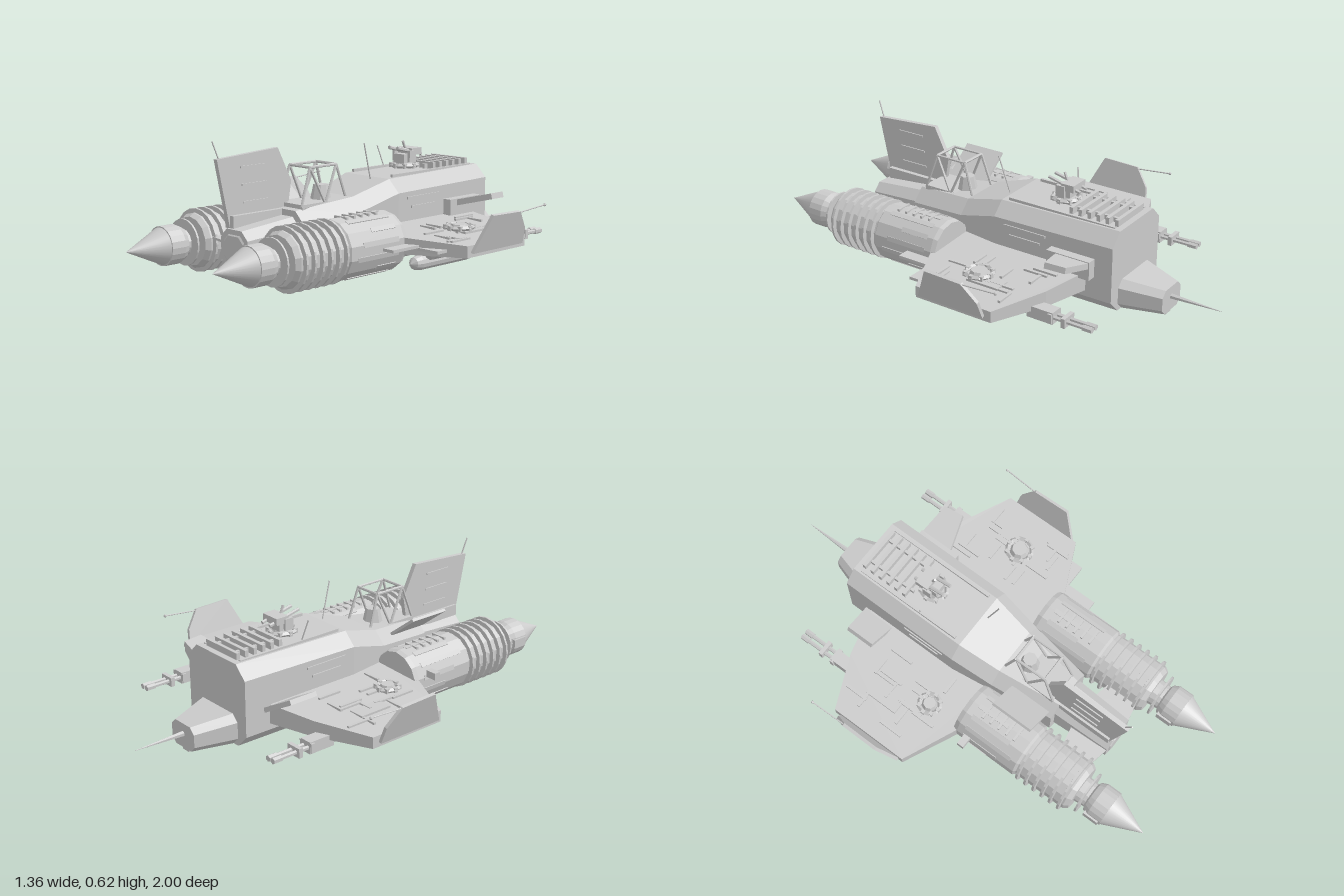
import * as THREE from 'three';

const mat = new THREE.MeshStandardMaterial({ color: 0xcccccc, flatShading: true, side: THREE.DoubleSide });
const smooth = new THREE.MeshStandardMaterial({ color: 0xcccccc });

// Octagonal hull through stations [z, half width, bottom, top, chamfer]
function octLoft(stations) {
  const rings = stations.map(([z, w, b, t, c]) => [
    [w, b + c], [w, t - c], [w - c, t], [c - w, t], [-w, t - c], [-w, b + c], [c - w, b], [w - c, b],
  ].map(([x, y]) => [x, y, z]));
  const pos = [];
  const tri = (...p) => p.forEach(v => pos.push(...v));
  for (let k = 0; k < rings.length - 1; k++) {
    const a = rings[k], b = rings[k + 1];
    for (let i = 0; i < 8; i++) {
      const j = (i + 1) % 8;
      tri(a[i], a[j], b[j]);
      tri(a[i], b[j], b[i]);
    }
  }
  const first = rings[0], last = rings[rings.length - 1];
  for (let i = 1; i < 7; i++) {
    tri(first[0], first[i + 1], first[i]);
    tri(last[0], last[i], last[i + 1]);
  }
  const g = new THREE.BufferGeometry();
  g.setAttribute('position', new THREE.Float32BufferAttribute(pos, 3));
  g.computeVertexNormals();
  return g;
}

const plate = (pts, depth) => new THREE.ExtrudeGeometry(
  new THREE.Shape(pts.map(p => new THREE.Vector2(...p))), { depth, bevelEnabled: false });

// Vertical plate outlined in (z, y), centred on x
const sidePlate = (pts, depth, x) => plate(pts.map(([z, y]) => [-z, y]), depth)
  .rotateY(Math.PI / 2).translate(x - depth / 2, 0, 0);

// Lathe around the z axis from [radius, z] points
const latheZ = (pts, n) => new THREE.LatheGeometry(
  pts.map(p => new THREE.Vector2(...p)), n).rotateX(Math.PI / 2);

export function createModel() {
  const root = new THREE.Group();
  const add = (name, geo, x = 0, y = 0, z = 0, m = mat) => {
    const mesh = new THREE.Mesh(geo, m);
    mesh.name = name;
    mesh.position.set(x, y, z);
    root.add(mesh);
    return mesh;
  };
  const box = (name, w, h, d, x, y, z) => add(name, new THREE.BoxGeometry(w, h, d), x, y, z);
  const rod = (name, a, b, r, r2 = r) => {
    const p = new THREE.Vector3(...a), q = new THREE.Vector3(...b), d = q.clone().sub(p);
    const mesh = add(name, new THREE.CylinderGeometry(r2, r, d.length(), 6));
    mesh.position.copy(p).addScaledVector(d, 0.5);
    mesh.quaternion.setFromUnitVectors(new THREE.Vector3(0, 1, 0), d.normalize());
  };
  let seed = 7;
  const rnd = () => (seed = (seed * 16807) % 2147483647) / 2147483647;

  // Fuselage, nose and tail
  add('hull', octLoft([[-0.61, 0.185, 0.07, 0.42, 0.055], [-0.05, 0.185, 0.065, 0.41, 0.055],
    [0.14, 0.16, 0.065, 0.355, 0.055], [0.42, 0.12, 0.08, 0.325, 0.055]]));
  add('nose', octLoft([[0.42, 0.09, 0.1, 0.3, 0.04], [0.68, 0.08, 0.12, 0.275, 0.035]]));
  add('noseFace', octLoft([[0.68, 0.06, 0.14, 0.255, 0.025], [0.685, 0.055, 0.145, 0.25, 0.025]]));
  add('tail', octLoft([[-0.78, 0.075, 0.07, 0.175, 0.025], [-0.61, 0.13, 0.07, 0.2, 0.03]]));
  rod('tailSpike', [0, 0.13, -0.78], [0, 0.13, -1], 0.012, 0.001);
  box('tailPod', 0.04, 0.03, 0.1, 0, 0.068, -0.72);
  box('keel', 0.1, 0.014, 0.7, 0, 0.063, -0.1);

  // Ribs and spine on the hull roof
  for (let i = 0; i < 6; i++) box('roofRib', 0.2, 0.03, 0.016, 0, 0.432, -0.575 + i * 0.042);
  for (const x of [-0.06, 0.06]) box('roofSpine', 0.012, 0.02, 0.24, x, 0.428, -0.46);
  for (const s of [-1, 1]) {
    box('roofRail', 0.012, 0.012, 0.5, s * 0.115, 0.418, -0.33);
    for (const [y, len] of [[0.33, 0.2], [0.29, 0.15]]) box('hullSideStrip', 0.006, 0.01, len, s * 0.187, y, -0.2);
  }

  // Ring mounts with lugs
  const turret = (x, y, z, r) => {
    add('turretRing', new THREE.TorusGeometry(r, 0.01, 4, 10).rotateX(Math.PI / 2), x, y, z);
    add('turretBase', new THREE.CylinderGeometry(r * 0.6, r * 0.8, 0.025, 8), x, y, z);
    for (let i = 0; i < 8; i++) {
      const a = i * Math.PI / 4;
      box('turretLug', 0.016, 0.02, 0.016, x + r * Math.cos(a), y, z + r * Math.sin(a));
    }
  };
  turret(0, 0.435, -0.28, 0.055);
  turret(-0.365, 0.235, -0.03, 0.045);
  turret(0.43, 0.235, -0.15, 0.055);

  // Twin gun on the roof mount
  box('turretHead', 0.06, 0.04, 0.07, 0, 0.465, -0.28);
  box('turretBreech', 0.09, 0.03, 0.06, 0, 0.495, -0.31);
  for (const s of [-1, 1]) {
    rod('turretBarrel', [s * 0.024, 0.48, -0.36], [s * 0.024, 0.515, -0.21], 0.008);
    box('turretShield', 0.012, 0.05, 0.04, s * 0.045, 0.475, -0.28);
  }
  rod('turretSight', [0, 0.47, -0.3], [0, 0.54, -0.27], 0.006);

  // Open cockpit frame with a hatch swung out to one side
  for (const s of [-1, 1]) {
    const x = s * 0.07, t = s * 0.06;
    const base = [0.39, 0.26, 0.14].map(z => [x, 0.335, z]), top = [0.335, 0.19].map(z => [t, 0.49, z]);
    [[base[0], top[0]], [top[0], top[1]], [top[1], base[2]], [base[0], base[2]], [base[1], top[0]], [base[1], top[1]]]
      .forEach(([a, b]) => rod('cockpitFrame', a, b, 0.006));
  }
  for (const z of [0.335, 0.19]) rod('cockpitCrossbar', [-0.06, 0.49, z], [0.06, 0.49, z], 0.006);
  box('cockpitSill', 0.15, 0.02, 0.26, 0, 0.335, 0.26);
  add('seat', new THREE.CylinderGeometry(0.03, 0.045, 0.07, 8), 0, 0.37, 0.22);
  box('hatch', 0.17, 0.012, 0.19, -0.185, 0.37, 0.31).rotation.z = -0.66;

  // Vertical fins
  add('tailFin', sidePlate([[0.73, 0.55], [0.42, 0.57], [0.35, 0.43], [0.37, 0.32], [0.67, 0.27]], 0.02, -0.045));
  box('finMount', 0.05, 0.05, 0.3, -0.04, 0.3, 0.52);
  for (const y of [0.37, 0.44, 0.51]) box('finStrip', 0.03, 0.008, 0.13, -0.045, y, 0.5 + y * 0.1);
  add('lowerFin', sidePlate([[0.44, 0.005], [0.14, 0.025], [0.12, 0.09], [0.4, 0.11]], 0.018, 0.025));

  // Antennas
  rod('antenna', [-0.045, 0.54, 0.71], [-0.05, 0.62, 0.74], 0.003);
  rod('antenna', [-0.11, 0.41, -0.27], [-0.135, 0.51, -0.25], 0.003);
  rod('antenna', [0.04, 0.4, -0.03], [0.052, 0.56, 0.02], 0.003);

  // Height of the wing skin
  const wingTop = x => 0.235 - 0.03 * Math.max(0, (Math.abs(x) - 0.18) / 0.44);

  for (const s of [-1, 1]) {
    // Wing, thinner toward the tip
    const wing = plate([[0.15, -0.5], [0.39, -0.44], [0.62, -0.34], [0.62, 0.02], [0.38, 0.13], [0.15, 0.13]]
      .map(([x, z]) => [s * x, z]), 1).rotateX(Math.PI / 2);
    const p = wing.attributes.position;
    for (let i = 0; i < p.count; i++) {
      const x = p.getX(i);
      p.setY(i, p.getY(i) > -0.5 ? wingTop(x) : 0.15 + 0.015 * (Math.abs(x) - 0.18));
    }
    add('wing', wing);

    // Thin strips and panels on the wing skin
    for (let i = 0; i < 16; i++) {
      const x = 0.25 + 0.32 * rnd(), z = -0.36 + 0.38 * rnd(), long = rnd() > 0.5;
      box('wingStrip', long ? 0.012 : 0.08, 0.01, long ? 0.11 : 0.012, s * x, wingTop(x) + 0.002, z);
    }
    box('wingPanel', 0.07, 0.012, 0.15, s * 0.45, wingTop(0.45), -0.2);

    // Winglet leaning outward, and its aerial
    const winglet = add('winglet', sidePlate([[0, 0], [-0.07, 0.155], [-0.24, 0.15], [-0.3, 0.07], [-0.31, 0]], 0.014, 0),
      s * 0.625, 0.175, 0);
    winglet.rotation.z = -s * 0.29;
    rod('wingletAerial', [s * 0.665, 0.31, -0.22], [s * 0.672, 0.325, -0.4], 0.003);
    add('aerialTip', new THREE.SphereGeometry(0.007, 6, 4), s * 0.672, 0.325, -0.4);

    // Underwing cannon
    add('cannonPod', latheZ([[0, -0.4], [0.03, -0.38], [0.036, -0.3], [0.036, 0.02], [0, 0.05]], 12), s * 0.425, 0.157, 0);
    box('cannonBreech', 0.055, 0.05, 0.12, s * 0.425, 0.15, -0.45);
    for (const k of [-1, 1]) {
      rod('cannonBarrel', [s * 0.425 + k * 0.014, 0.15, -0.5], [s * 0.425 + k * 0.014, 0.15, -0.68], 0.009);
      rod('cannonMuzzle', [s * 0.425 + k * 0.014, 0.15, -0.64], [s * 0.425 + k * 0.014, 0.15, -0.68], 0.013);
    }
    for (const z of [-0.5, -0.56]) box('cannonClamp', 0.07, 0.04, 0.018, s * 0.425, 0.15, z);

    // Engine nacelle
    const ex = s * 0.265, ey = 0.195;
    add('engineBody', latheZ([[0, 0.11], [0.118, 0.11], [0.124, 0.13], [0.124, 0.42], [0.113, 0.43],
      [0.113, 0.67], [0.1, 0.69], [0.06, 0.69], [0.055, 0.74]], 14), ex, ey, 0);
    for (let i = 0; i < 6; i++) {
      add('coolingRing', latheZ([[0.11, -0.007], [0.13, -0.005], [0.13, 0.005], [0.11, 0.007]], 20), ex, ey, 0.445 + i * 0.042);
    }
    add('neckRing', latheZ([[0.05, -0.005], [0.095, -0.004], [0.095, 0.004], [0.05, 0.005]], 20), ex, ey, 0.72);
    add('coneCollar', latheZ([[0.05, 0.735], [0.068, 0.745], [0.08, 0.77], [0.08, 0.835], [0.074, 0.835]], 20), ex, ey, 0);
    add('noseCone', new THREE.ConeGeometry(0.077, 0.17, 32).rotateX(Math.PI / 2), ex, ey, 0.915, smooth);
    box('collarBox', 0.03, 0.04, 0.07, ex - 0.07, ey, 0.79);
    for (let i = 0; i < 14; i++) {
      const a = (i + 0.5) * Math.PI / 7, len = 0.1 + 0.14 * rnd();
      box('engineStrip', 0.01, 0.02, len, ex + 0.12 * Math.cos(a), ey + 0.12 * Math.sin(a), 0.16 + len / 2).rotation.z = a;
    }
    for (let i = 0; i < 5; i++) box('engineVent', 0.07, 0.012, 0.01, ex, ey + 0.121, 0.2 + i * 0.04);

    // Struts joining the engine to the fuselage
    box('engineStrut', 0.12, 0.03, 0.2, s * 0.145, 0.2, 0.28);
    add('noseStrut', plate([[0.07, 0.5], [0.17, 0.52], [0.17, 0.66], [0.07, 0.68]]
      .map(([x, z]) => [s * x, z]), 0.01).rotateX(Math.PI / 2), 0, 0.225, 0);
  }

  // Rear canards: a broad one on the left, a short steep one on the right
  add('canard', plate([[0, -0.53], [0.19, -0.51], [0.2, -0.42], [0, -0.36]], 0.025)
    .rotateX(Math.PI / 2), 0.18, 0.285, 0).rotation.z = 0.25;
  box('canardRoot', 0.05, 0.08, 0.2, 0.2, 0.26, -0.43);
  add('canard', plate([[0, -0.52], [-0.16, -0.5], [-0.16, -0.37], [0, -0.37]], 0.02)
    .rotateX(Math.PI / 2), -0.18, 0.225, 0).rotation.z = -0.5;

  // Long tank slung beneath the left wing root
  add('tank', latheZ([[0, -0.35], [0.028, -0.32], [0.032, -0.28], [0.032, 0], [0.025, 0.03], [0, 0.05]], 12), 0.345, 0.095, 0);
  for (const z of [-0.25, -0.05]) box('tankPylon', 0.02, 0.06, 0.05, 0.345, 0.135, z);

  // Small trailing flaps and sensor
  box('sideFlap', 0.06, 0.012, 0.16, 0.41, 0.19, 0.17);
  box('sideFlap', 0.11, 0.012, 0.08, 0.49, 0.18, 0.07);
  box('sideSensor', 0.05, 0.03, 0.03, -0.41, 0.24, 0.185);
  return root;
}
